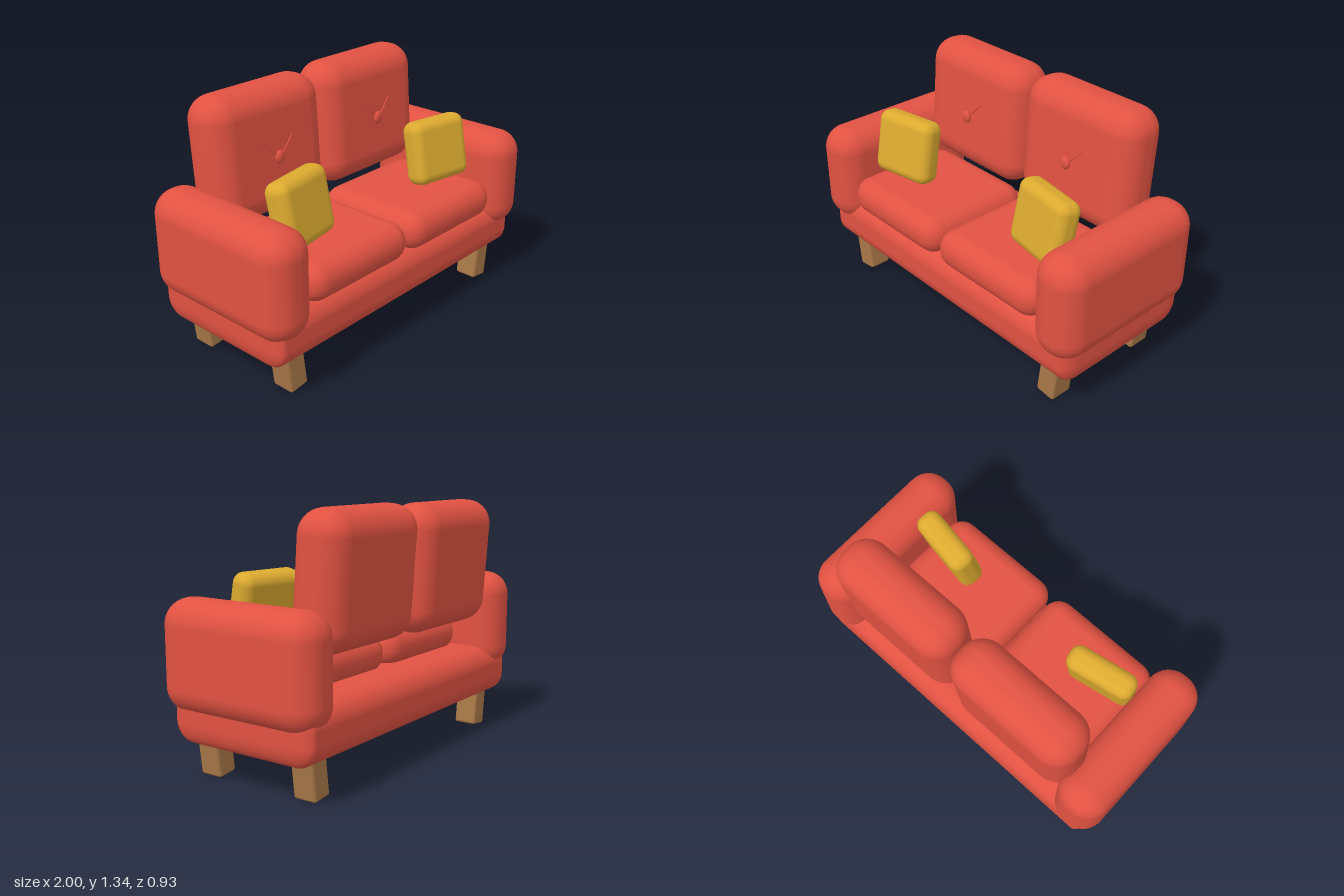
import * as THREE from 'three';
import { RoundedBoxGeometry } from 'three/addons/geometries/RoundedBoxGeometry.js';

function material(name, color) {
  const m = new THREE.MeshStandardMaterial({ color });
  m.name = name;
  return m;
}

export function createModel() {
  const red = material('red fabric', 0xe15242);
  const yellow = material('yellow fabric', 0xdcaa2f);
  const wood = material('wood', 0xa87848);

  const sofa = new THREE.Group();
  sofa.name = 'sofa';

  // Soft box given by its size, corner radius, centre and tilt
  function softBox(name, mat, [w, h, d], radius, position, rotation = [0, 0, 0], parent = sofa) {
    const mesh = new THREE.Mesh(new RoundedBoxGeometry(w, h, d, 6, radius), mat);
    mesh.name = name;
    mesh.position.set(...position);
    mesh.rotation.set(...rotation, 'YXZ');
    parent.add(mesh);
    return mesh;
  }

  // Base, with tighter rounding along its length
  const base = softBox('base', red, [3.8, 0.29, 0.86], 0.11, [0, 0.335, -0.012]);
  base.scale.x = 0.5;

  for (const side of [1, -1]) {
    const label = side > 0 ? 'left' : 'right';
    const lift = side > 0 ? 0 : -0.01;

    softBox(label + 'Arm', red, [0.28, 0.565, 0.93], 0.13, [side * 0.858, 0.622, 0], [0, 0, 0]);
    softBox(label + 'SeatCushion', red, [0.725, 0.21, 0.68], 0.1, [side * 0.368, 0.555, 0.1]);

    // Back cushion, leaning back slightly
    softBox(label + 'BackCushion', red, [0.758, 0.685, 0.29], 0.13,
      [side * 0.384, 1.0 + lift, -0.296], [-0.07, 0, 0]);

    // Button and the two creases that fan out from it
    const tuft = new THREE.Group();
    tuft.name = label + 'Tuft';
    tuft.position.set(side * 0.38, 0.995 + lift * 1.5, -0.134);
    sofa.add(tuft);
    const button = new THREE.Mesh(new THREE.SphereGeometry(0.03, 20, 14), red);
    button.name = 'button';
    button.scale.set(1, 1.2, 0.55);
    tuft.add(button);
    for (const dir of [1, -1]) {
      const path = new THREE.QuadraticBezierCurve3(
        new THREE.Vector3(dir * 0.01, 0.005, 0),
        new THREE.Vector3(dir * 0.045, 0.035, -0.004),
        new THREE.Vector3(dir * 0.1, 0.095, -0.012));
      const crease = new THREE.Mesh(new THREE.TubeGeometry(path, 10, 0.004, 6), red);
      crease.name = 'crease';
      tuft.add(crease);
    }

    // Throw pillow, turned inwards and tipped back
    softBox(label + 'Pillow', yellow, [0.378, 0.355, 0.14], 0.055,
      [side * 0.535, 0.84, 0.16], [-0.2, side * -0.17, 0]);

    // Legs, feet leaning inwards
    for (const [end, z] of [['Front', 0.29], ['Back', -0.305]]) {
      softBox(label + end + 'Leg', wood, [0.115, 0.28, 0.13], 0.015,
        [side * 0.775, 0.145, z], [0, 0, side * -0.12]);
    }
  }
  return sofa;
}
